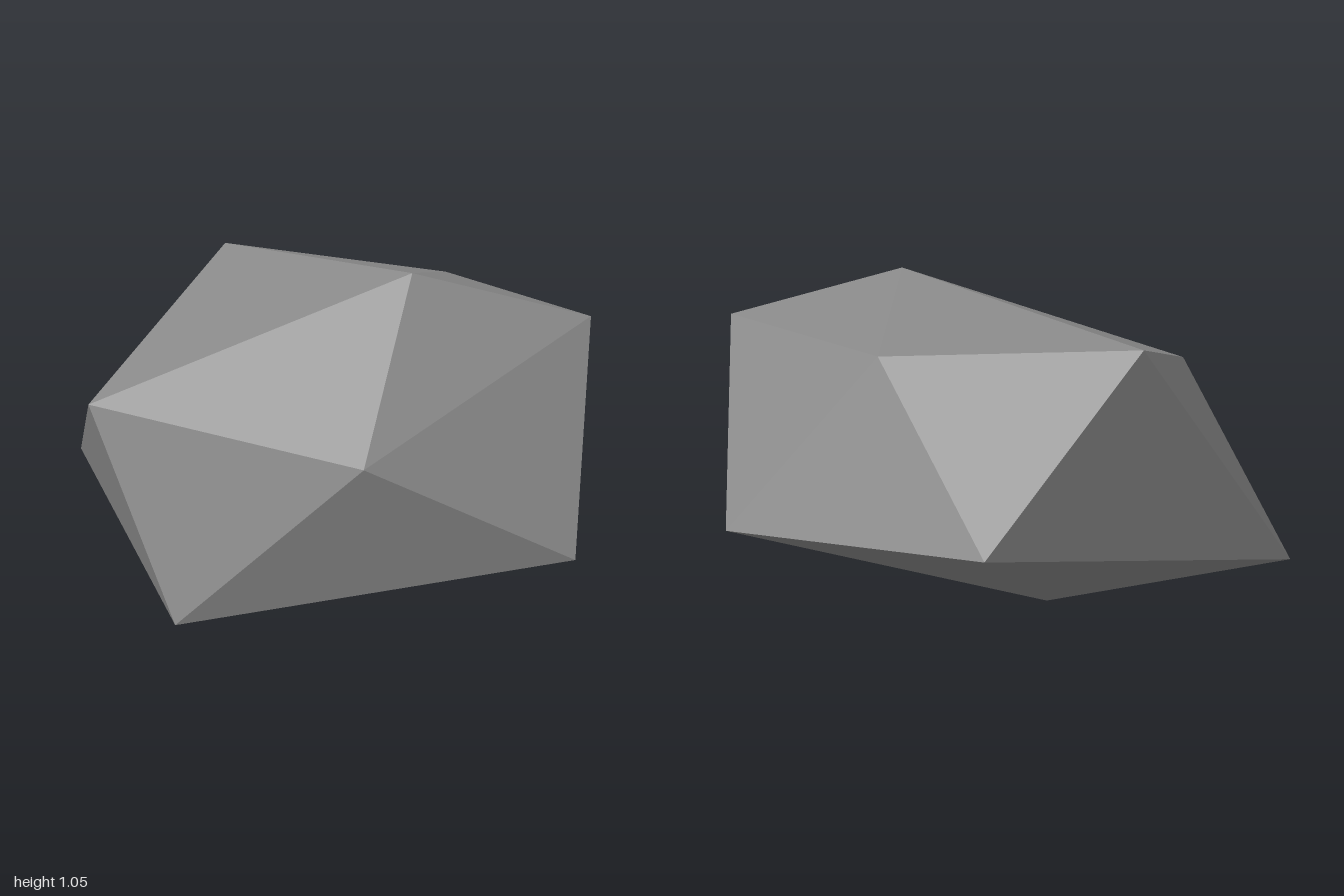
import * as THREE from 'three';

// A rough stone: top point, ring of five shoulders, ring of five skirt points, bottom point.
const top = [0.02, 1.05, 0.33];
const shoulders = [
  [-0.745, 0.69, -0.34], [-0.47, 0.585, 0.505], [0.36, 0.91, 0.775], [0.625, 0.873, 0.05], [0.35, 0.913, -0.697],
];
const skirt = [
  [-0.8, 0.075, 0.04], [-0.065, 0.287, 1], [0.79, 0.315, 0.505], [0.8, 0.34, -0.412], [-0.1, 0.21, -1],
];
const bottom = [0.04, 0, -0.22];

export function createModel() {
  const group = new THREE.Group();
  group.name = 'rock';

  const stone = new THREE.MeshStandardMaterial({ color: 0x888888, flatShading: true });
  stone.name = 'stone grey';

  // Four triangles per fifth: cap, two side facets, base
  const corners = [];
  for (let i = 0; i < 5; i++) {
    const j = (i + 1) % 5;
    corners.push(
      top, shoulders[i], shoulders[j],
      shoulders[i], skirt[i], shoulders[j],
      skirt[i], skirt[j], shoulders[j],
      bottom, skirt[j], skirt[i],
    );
  }
  const geometry = new THREE.BufferGeometry();
  geometry.setAttribute('position', new THREE.Float32BufferAttribute(corners.flat(), 3));
  geometry.computeVertexNormals();

  const boulder = new THREE.Mesh(geometry, stone);
  boulder.name = 'boulder';
  group.add(boulder);
  return group;
}
